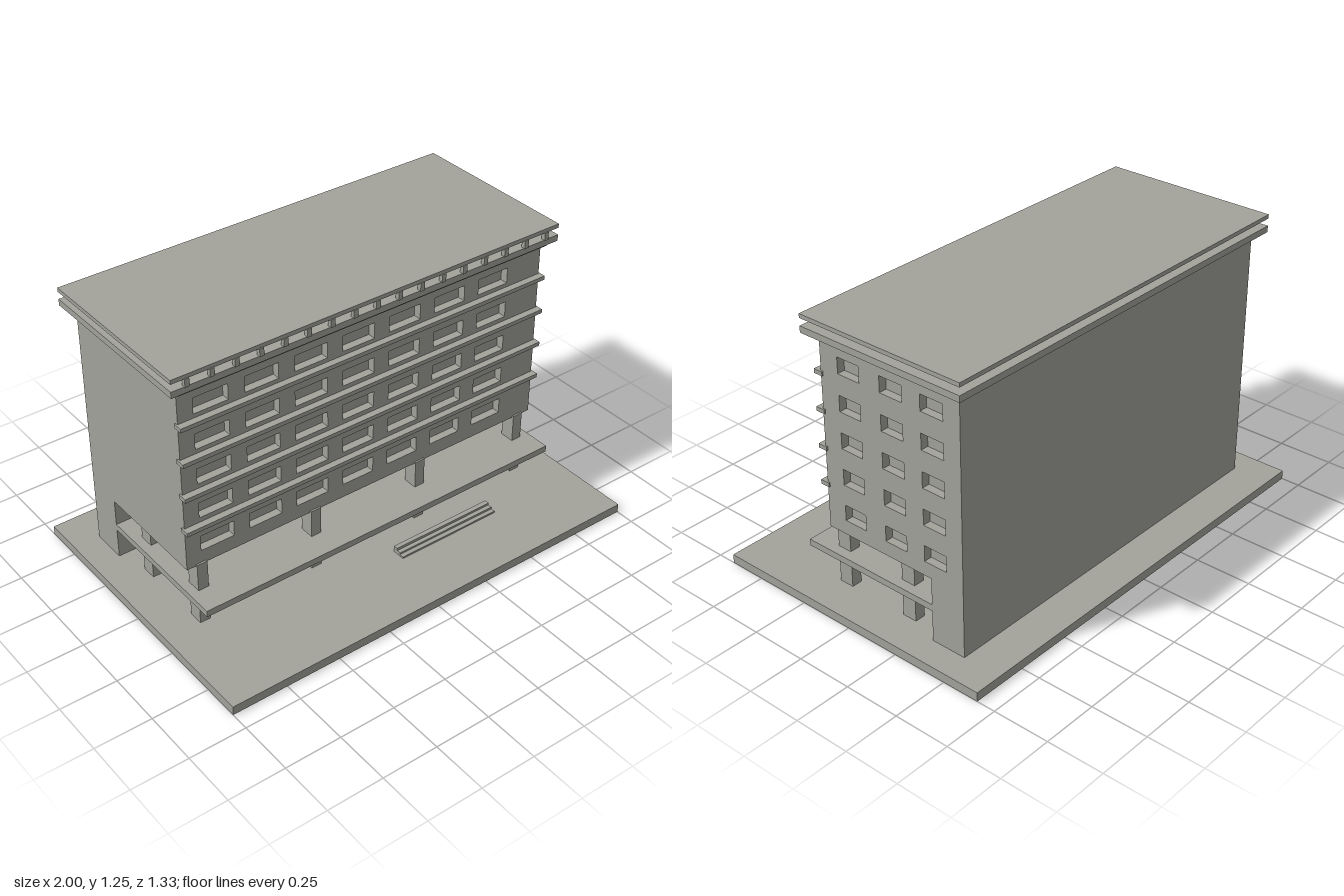
import * as THREE from 'three';

export function createModel() {
  const model = new THREE.Group();
  model.name = 'officeBlock';
  const concrete = new THREE.MeshStandardMaterial({ color: 0xa3a39c });
  concrete.name = 'concrete grey';

  function add(name, geometry, parent = model) {
    const mesh = new THREE.Mesh(geometry, concrete);
    mesh.name = name;
    parent.add(mesh);
    return mesh;
  }

  // Box given by its lower and upper limits on each axis
  function block(name, x0, x1, y0, y1, z0, z1, parent = model) {
    const mesh = add(name, new THREE.BoxGeometry(x1 - x0, y1 - y0, z1 - z0), parent);
    mesh.position.set((x0 + x1) / 2, (y0 + y1) / 2, (z0 + z1) / 2);
    return mesh;
  }

  function group(name) {
    const g = new THREE.Group();
    g.name = name;
    model.add(g);
    return g;
  }

  function polygon(points) {
    return new THREE.Shape(points.map(([x, y]) => new THREE.Vector2(x, y)));
  }

  // Punches five storeys of window openings into a wall shape
  function punchWindows(shape, starts, width) {
    for (let floor = 0; floor < 5; floor++) {
      const y = 0.389 + floor * 0.16;
      for (const x of starts) {
        shape.holes.push(polygon([[x, y], [x, y + 0.07], [x + width, y + 0.07], [x + width, y]]));
      }
    }
    return shape;
  }

  const extrude = (shape, depth) => new THREE.ExtrudeGeometry(shape, { depth, bevelEnabled: false });

  const W = 0.88, FRONT = 0.2, BACK = -0.495, WALL = -0.335;
  const GROUND = 0.04, UNDER = 0.325, TOP = 1.17, REVEAL = 0.035;

  block('basePlate', -1, 1, 0, GROUND, -0.667, 0.667);

  // Body: an L profile (raised storeys plus full-height rear) run along x
  const sideProfile = () => polygon([
    [-(FRONT - REVEAL), UNDER], [-WALL, UNDER], [-WALL, GROUND],
    [-BACK, GROUND], [-BACK, TOP], [-(FRONT - REVEAL), TOP],
  ]);
  const core = add('buildingCore', extrude(sideProfile(), 2 * W - REVEAL));
  core.rotation.y = Math.PI / 2;
  core.position.x = -W;

  // Outer wall skins with recessed windows
  const side = add('sideWall', extrude(punchWindows(sideProfile(), [-0.11, 0.104, 0.304], 0.11), REVEAL));
  side.rotation.y = Math.PI / 2;
  side.position.x = W - REVEAL;

  const frontShape = polygon([[-W, UNDER], [W, UNDER], [W, TOP], [-W, TOP]]);
  const frontStarts = Array.from({ length: 7 }, (_, i) => -0.811 + i * 0.227);
  const front = add('frontWall', extrude(punchWindows(frontShape, frontStarts, 0.153), REVEAL));
  front.position.z = FRONT - REVEAL;

  // Ledges above each row of windows
  const ledges = group('ledges');
  for (let i = 0; i < 5; i++) {
    const y = 0.51 + i * 0.161;
    block('ledge', -0.887, 0.887, y, y + 0.018, 0.188, 0.23, ledges);
  }

  // Two rows of columns under the raised storeys
  const columns = group('columns');
  for (const x of [-0.815, -0.27, 0.268, 0.812]) {
    for (const z of [0.175, -0.17]) {
      block('column', x - 0.024, x + 0.024, GROUND, 0.333, z - 0.033, z + 0.033, columns);
    }
  }

  block('mezzanineSlab', -W, W, 0.177, 0.206, WALL, 0.327);

  // Entrance steps
  const steps = group('entranceSteps');
  [[0.387, 0.048], [0.367, 0.057], [0.348, 0.068]].forEach(([z, y], i) => {
    block('step', 0.04, 0.54, GROUND, y, i < 2 ? z - 0.02 : 0.327, z, steps);
  });

  // Double roof held apart by a row of small posts
  block('lowerRoof', -0.927, 0.927, TOP, 1.198, -0.54, 0.247);
  block('upperRoof', -0.927, 0.927, 1.23, 1.248, -0.54, 0.247);
  const posts = group('roofPosts');
  for (let i = 0; i < 17; i++) {
    const x = -0.86 + i * 0.1075;
    block('roofPost', x - 0.01, x + 0.01, 1.196, 1.232, 0.232, 0.251, posts);
  }

  return model;
}
